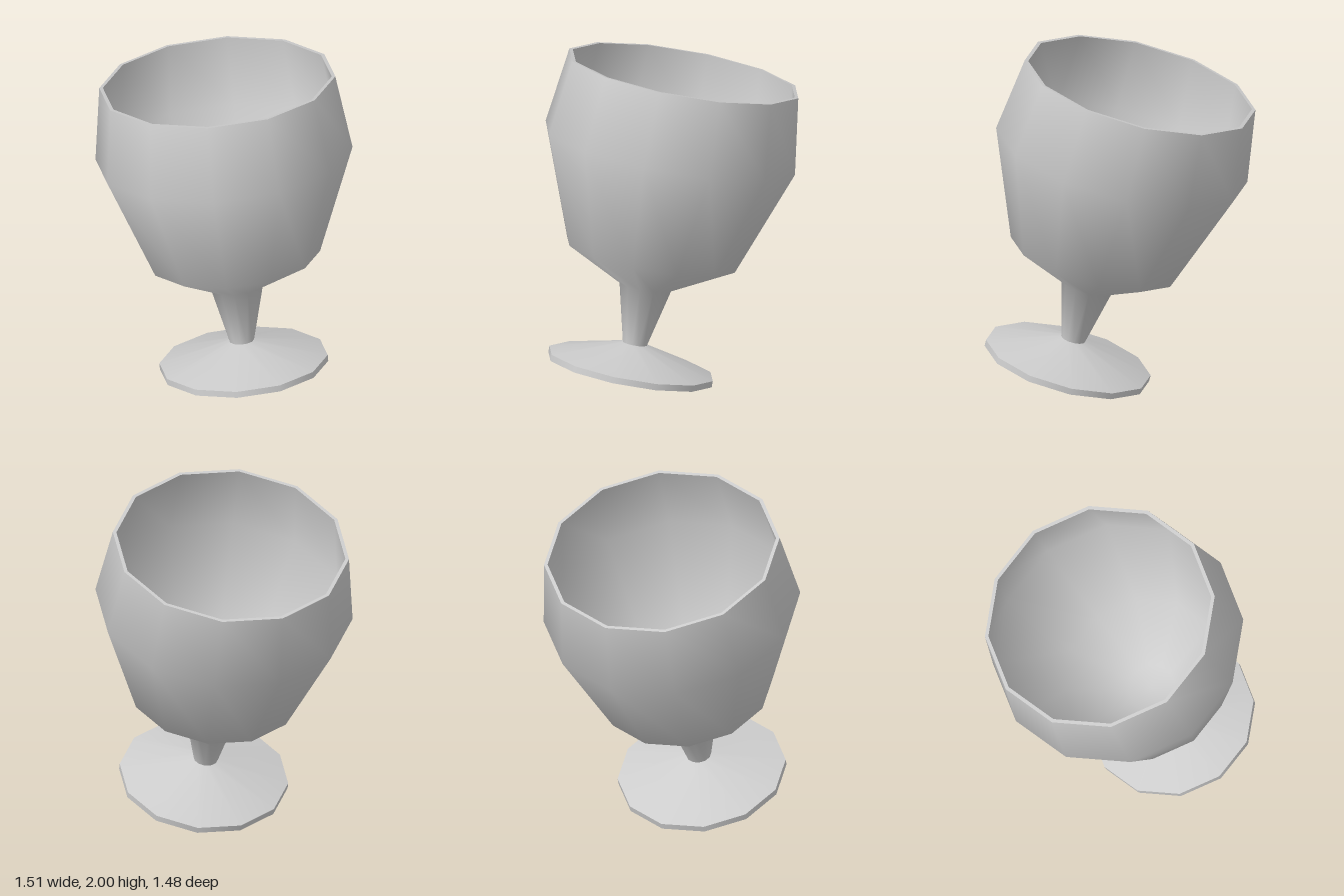
import * as THREE from 'three';

const SIDES = 12;

export function createModel() {
  const model = new THREE.Group();
  model.name = 'goblet';
  const grey = new THREE.MeshStandardMaterial({ color: 0xcccccc });
  grey.name = 'plain grey';

  // Everything is turned around one leaning axis
  const goblet = new THREE.Group();
  goblet.name = 'leaningGoblet';
  const x = new THREE.Vector3(0.98, 0.197, -0.027).normalize();
  const y = new THREE.Vector3(-0.199, 0.971, -0.132);
  y.addScaledVector(x, -y.dot(x)).normalize();
  const z = new THREE.Vector3().crossVectors(x, y);
  goblet.quaternion.setFromRotationMatrix(new THREE.Matrix4().makeBasis(x, y, z));
  goblet.position.set(0.27, 0.117, 0.17);
  model.add(goblet);

  // Profile points are [radius, height along the axis]
  const turn = (name, profile) => {
    const points = profile.map(([r, h]) => new THREE.Vector2(r, h));
    const mesh = new THREE.Mesh(new THREE.LatheGeometry(points, SIDES), grey);
    mesh.name = name;
    goblet.add(mesh);
  };

  // Foot
  turn('footUnderside', [[0, 0], [0.49, 0]]);
  turn('footEdge', [[0.49, 0], [0.49, 0.037]]);
  turn('footTop', [[0.49, 0.037], [0.072, 0.158]]);

  // Stem flowing into the bowl
  turn('stemAndBowl', [[0.072, 0.158], [0.155, 0.502], [0.503, 0.69], [0.748, 1.33], [0.687, 1.775]]);

  // Rim and hollow inside
  turn('rim', [[0.687, 1.775], [0.666, 1.775]]);
  turn('bowlInside', [[0.666, 1.775], [0.727, 1.33], [0.482, 0.705], [0.14, 0.525], [0, 0.525]]);

  return model;
}
